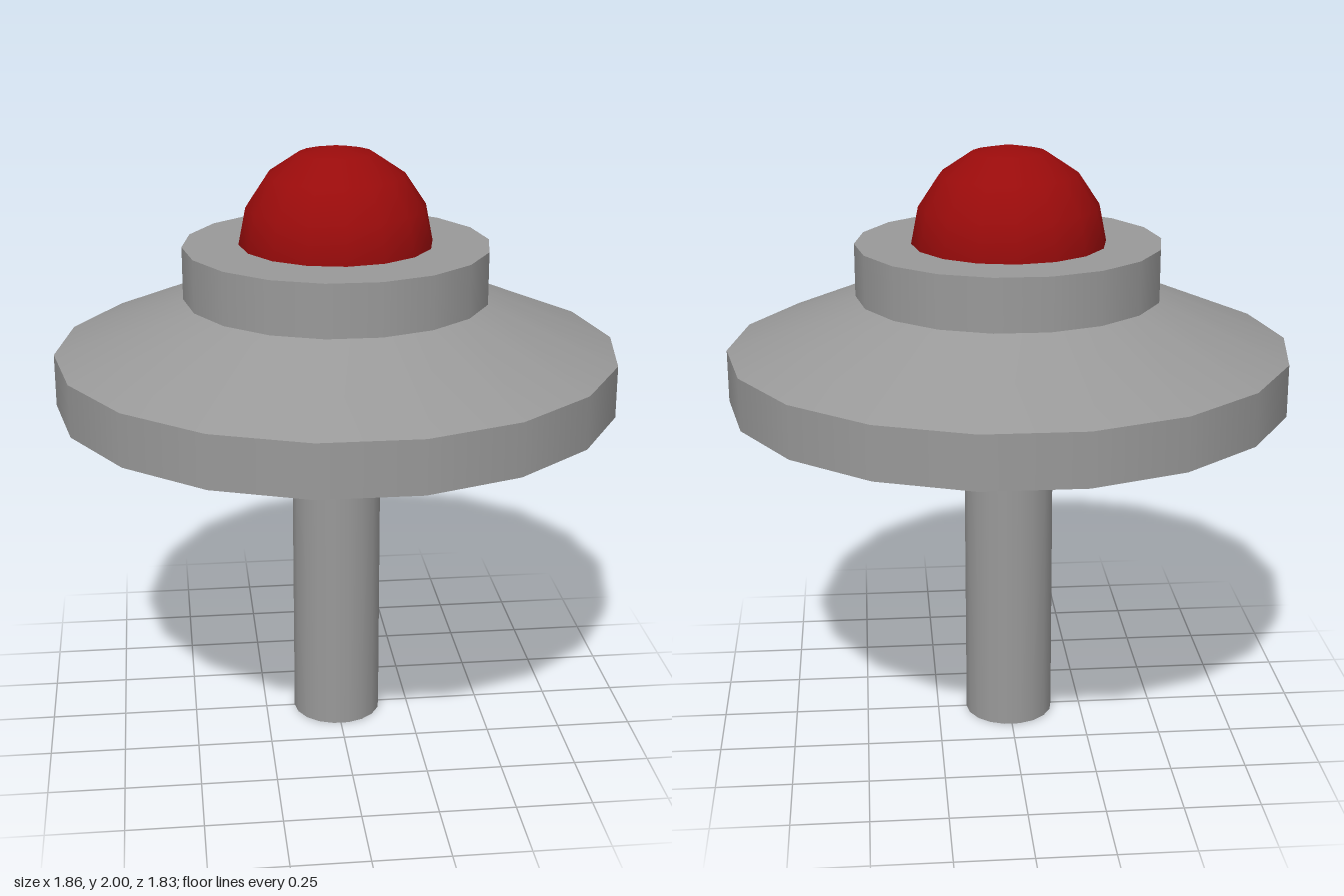
import * as THREE from 'three';

const SIDES = 18;

export function createModel() {
  const model = new THREE.Group();
  const grey = new THREE.MeshStandardMaterial({ color: 0x999999 });
  const red = new THREE.MeshStandardMaterial({ color: 0x990b0b });

  // One round section between two heights, with a corner on the x axis
  function section(name, rBottom, rTop, y0, y1, open) {
    const geometry = new THREE.CylinderGeometry(rTop, rBottom, y1 - y0, SIDES, 1, open, Math.PI / 2);
    const mesh = new THREE.Mesh(geometry, grey);
    mesh.name = name;
    mesh.position.y = (y0 + y1) / 2;
    return mesh;
  }

  // Stem
  model.add(section('stem', 0.15, 0.15, 0, 0.988, false));

  // Saucer body: underside cone, rim band, sloping top
  const saucer = new THREE.Group();
  saucer.name = 'saucer';
  saucer.add(
    section('underside', 0.15, 0.928, 0.988, 1.161, true),
    section('rim', 0.928, 0.928, 1.161, 1.334, true),
    section('slope', 0.928, 0.502, 1.334, 1.51, true)
  );
  model.add(saucer);

  // Collar with flat top
  model.add(section('collar', 0.502, 0.502, 1.51, 1.683, false));

  // Red dome, seated slightly towards the back
  const dome = new THREE.Mesh(
    new THREE.SphereGeometry(0.318, 16, 4, 0, Math.PI * 2, 0, Math.PI / 2),
    red
  );
  dome.name = 'dome';
  dome.position.set(0, 1.682, -0.014);
  model.add(dome);

  return model;
}
